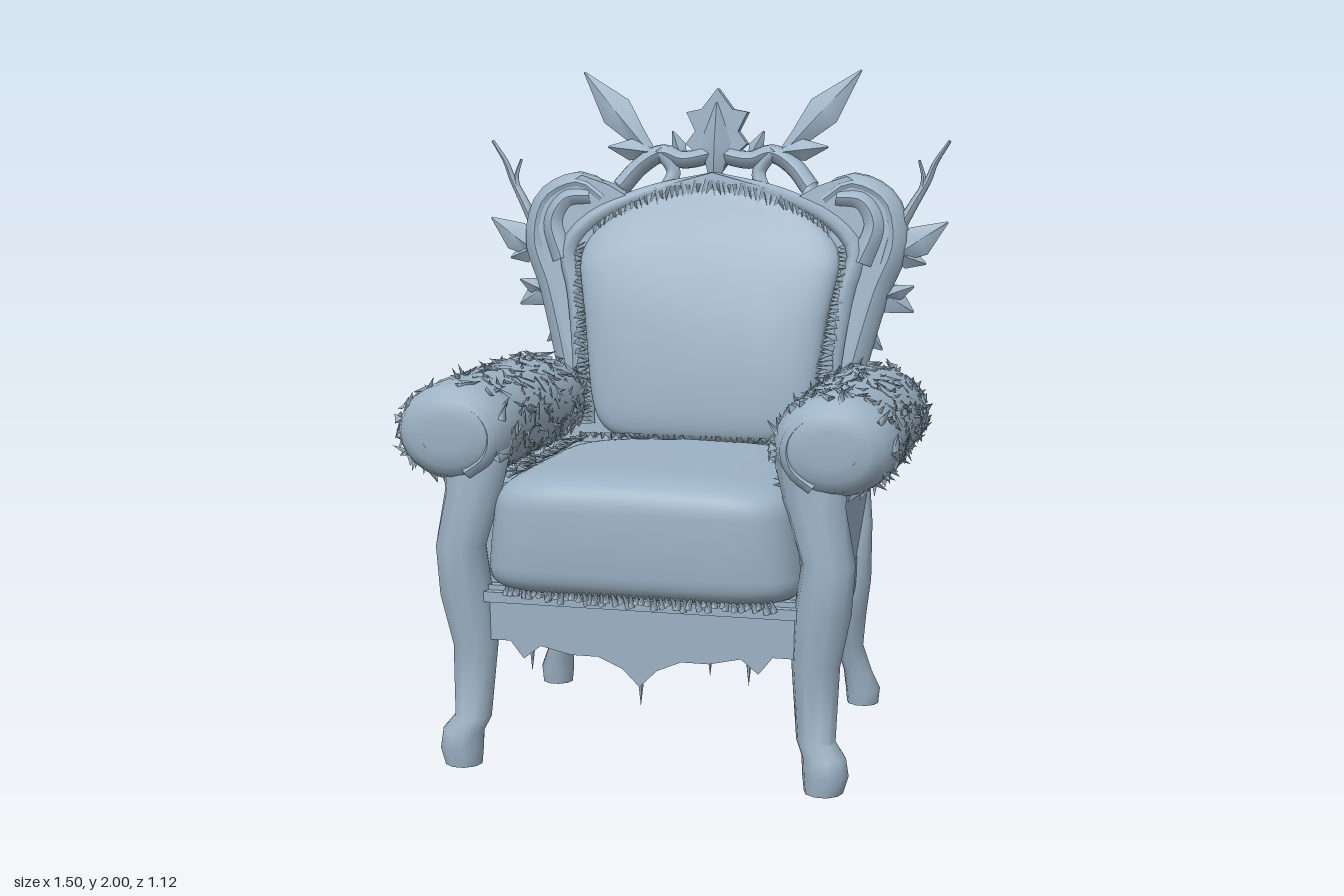
import * as THREE from 'three';
import { mergeGeometries, mergeVertices, toCreasedNormals } from 'three/addons/utils/BufferGeometryUtils.js';

const V = (x, y, z) => new THREE.Vector3(x, y, z);
const UP = V(0, 1, 0);
let seed = 7;
const rnd = () => (seed = (seed * 16807) % 2147483647) / 2147483647;

// the back leans: depth of its rear face at height y
const backZ = y => -0.375 - 0.15 * Math.pow(Math.max(0, y - 0.6) / 1.1, 1.1);

// skin over elliptical sections [x, y, z, rx, rz] stacked along y
function loft(sections, sides = 10) {
  const pos = [], idx = [], n = sections.length;
  for (const [x, y, z, rx, rz] of sections)
    for (let i = 0; i < sides; i++) {
      const a = (i / sides) * Math.PI * 2;
      pos.push(x + Math.cos(a) * rx, y, z + Math.sin(a) * rz);
    }
  for (let k = 0; k < n - 1; k++)
    for (let i = 0; i < sides; i++) {
      const j = (i + 1) % sides, a = k * sides + i, b = k * sides + j;
      idx.push(a, a + sides, b, b, a + sides, b + sides);
    }
  const top = (n - 1) * sides;
  for (let i = 1; i < sides - 1; i++) idx.push(0, i, i + 1, top, top + i + 1, top + i);
  const g = new THREE.BufferGeometry();
  g.setAttribute('position', new THREE.Float32BufferAttribute(pos, 3));
  g.setIndex(idx);
  return toCreasedNormals(g, 0.9);
}

// move every vertex of a geometry by a rule
function warp(g, rule) {
  const p = g.attributes.position, v = V(0, 0, 0);
  for (let i = 0; i < p.count; i++) {
    rule(v.fromBufferAttribute(p, i), i);
    p.setXYZ(i, v.x, v.y, v.z);
  }
  g.computeVertexNormals();
  return g;
}

// rounded unit cushion; a lower power gives squarer corners
function cushion(power, rule) {
  let g = new THREE.SphereGeometry(1, 48, 32);
  g.deleteAttribute('uv');
  g.deleteAttribute('normal');
  g = mergeVertices(g, 1e-4);
  const soft = t => Math.sign(t) * Math.pow(Math.abs(t), power);
  return warp(g, v => rule(v.set(soft(v.x), soft(v.y), soft(v.z))));
}

// tapering tube through points
function vine(points, r0, r1) {
  const curve = new THREE.CatmullRomCurve3(points), seg = 24, sides = 7;
  return warp(new THREE.TubeGeometry(curve, seg, 1, sides), (v, i) => {
    const t = Math.floor(i / (sides + 1)) / seg, c = curve.getPointAt(t);
    v.sub(c).multiplyScalar(r0 + (r1 - r0) * t).add(c);
  });
}

// flat pointed leaf from a to b
function leaf(a, b, w, thick = 0.02) {
  const d = b.clone().sub(a), L = d.length();
  const g = loft([[0, 0, 0, w * 0.25, thick * 0.5], [0, L * 0.25, 0, w * 0.55, thick],
    [0, L * 0.55, 0, w, thick], [0, L, 0, 0.003, 0.003]], 4);
  g.applyQuaternion(new THREE.Quaternion().setFromUnitVectors(UP, d.normalize()));
  return g.translate(a.x, a.y, a.z);
}

// ragged tufts: small pointed slivers at [position, direction]
function tufts(list, len, r = 0.013) {
  return mergeGeometries(list.map(([p, d]) => {
    const g = new THREE.ConeGeometry(r, len * (0.6 + 0.8 * rnd()), 3);
    g.applyQuaternion(new THREE.Quaternion().setFromUnitVectors(UP, d.clone().normalize()));
    return g.translate(p.x, p.y, p.z);
  }));
}

function slab(points, depth) {
  const shape = new THREE.Shape(points.map(([x, y]) => new THREE.Vector2(x, y)));
  return new THREE.ExtrudeGeometry(shape, { depth, bevelEnabled: false });
}
const mirrored = half => [...half, ...half.filter(p => p[0] !== 0).reverse().map(([x, y]) => [-x, y])];

export function createModel() {
  const root = new THREE.Group();
  const chair = new THREE.Group();
  chair.name = 'armchair';
  chair.position.x = -0.012;
  root.add(chair);
  const mat = new THREE.MeshStandardMaterial({ color: 0x9cb2c4, side: THREE.DoubleSide });
  mat.name = 'blue grey';
  const add = (name, g) => {
    const m = new THREE.Mesh(g, mat);
    m.name = name;
    chair.add(m);
  };
  const B = (x, y, off = 0.05) => V(x, y, backZ(y) + off);

  // upholstered base, flaring slightly upwards
  add('base', toCreasedNormals(warp(new THREE.BoxGeometry(2, 0.36, 0.8), v => {
    v.x *= v.y > 0 ? 0.54 : 0.495;
    v.y += 0.64;
    v.z += 0.03;
  }), 0.5));

  // seat cushion, wider at the bottom and domed on top
  add('seatCushion', cushion(0.32, v => {
    const X = v.x, Y = v.y, Z = v.z;
    v.x = X * (0.452 - 0.02 * Y);
    v.y = 0.675 + Y * 0.17 + 0.025 * (1 - X * X) * Math.max(Y, 0);
    v.z = 0.13 + Z * 0.405 + (Z > 0 ? 0.03 * (1 - X * X * 0.6) * (1 - Y * Y * 0.6) : 0);
  }));

  // carved back board following the lean, with a curved lower edge
  const board = slab(mirrored([[0, 0.47], [0.2, 0.475], [0.36, 0.47], [0.45, 0.43], [0.48, 0.6], [0.47, 0.85], [0.455, 1.0],
    [0.47, 1.12], [0.51, 1.25], [0.54, 1.38], [0.57, 1.5], [0.55, 1.6], [0.43, 1.67], [0.34, 1.64], [0.27, 1.6],
    [0.15, 1.64], [0, 1.68]]), 0.09);
  add('backBoard', toCreasedNormals(warp(board, v => { v.z += backZ(v.y); }), 0.6));

  // padded back cushion, widening to its shoulders and sloping back to an arched top
  add('backCushion', cushion(0.3, v => {
    const X = v.x, Y = v.y, Z = v.z;
    v.x = X * (0.395 + 0.045 * Y);
    v.y = 1.24 + 0.4 * Y - 0.17 * X * X * Math.max(Y, 0);
    const thick = 0.13 - 0.1 * THREE.MathUtils.smoothstep(v.y, 1.22, 1.64);
    v.z = backZ(v.y) + 0.05 + Z * (Z > 0 ? thick + 0.02 * (1 - X * X) : 0.03);
  }));

  // tufts round the seat and back cushions
  const seams = [];
  for (let i = 0; i < 46; i++) {
    const t = i / 45;
    for (const s of [-1, 1]) {
      seams.push([V(s * (0.375 + rnd() * 0.03), 0.845, -0.25 + t * 0.68), V(-s, 0.4 * rnd(), rnd() - 0.5)]);
      seams.push([B(s * (0.365 + 0.06 * t), 0.9 + t * 0.55, 0.15 - 0.06 * t * t), V(-s, rnd() - 0.5, 0.4)]);
    }
    const x = -0.38 + t * 0.76;
    seams.push([V(x, 0.86, -0.24), V(rnd() - 0.5, 0.4, 1)]);
    seams.push([B(x, 1.63 - 0.9 * x * x, 0.09), V(rnd() - 0.5, -1, 0.4)]);
    seams.push([V(x, 0.53, 0.535 - 0.25 * x * x), V(rnd() - 0.5, 1, 0)]);
  }
  add('cushionTufts', tufts(seams, 0.045));

  // front apron with pointed hem and drips
  add('frontApron', slab(mirrored([[0.46, 0.53], [0.46, 0.37], [0.38, 0.37], [0.34, 0.32], [0.29, 0.36],
    [0.2, 0.34], [0.12, 0.34], [0.05, 0.31], [0, 0.26]]), 0.03).translate(0, 0, 0.44));
  add('seatRail', new THREE.BoxGeometry(0.9, 0.03, 0.06).translate(0, 0.5, 0.465));
  const hem = [[0.38, 0.5], [0.38, 0.36], [0.3, 0.36], [0.2, 0.34], [0.14, 0.36], [0.05, 0.37], [-0.02, 0.36],
    [-0.1, 0.35], [-0.16, 0.38], [-0.27, 0.4], [-0.32, 0.5]];
  const drips = [[0, 0.2, 0.455], [0.31, 0.28, 0.455], [-0.32, 0.28, 0.455], [0.2, 0.3, 0.455]];

  for (const s of [-1, 1]) {
    const side = s < 0 ? 'right' : 'left';
    // side apron
    add(side + 'Apron', slab(hem, 0.025).rotateY(-Math.PI / 2).translate(s * 0.49 + 0.0125, 0, 0.03));
    drips.push([s * 0.49, 0.29, 0.2], [s * 0.49, 0.3, -0.1]);

    // front leg and arm post
    add(side + 'FrontLeg', loft([[s * 0.525, 0, 0.47, 0.055, 0.055], [s * 0.53, 0.05, 0.47, 0.065, 0.062],
      [s * 0.525, 0.1, 0.47, 0.062, 0.058], [s * 0.5, 0.14, 0.455, 0.055, 0.05], [s * 0.495, 0.35, 0.44, 0.068, 0.06],
      [s * 0.515, 0.5, 0.455, 0.08, 0.07], [s * 0.53, 0.64, 0.455, 0.075, 0.07], [s * 0.49, 0.8, 0.455, 0.085, 0.055],
      [s * 0.48, 0.95, 0.45, 0.11, 0.05]]));

    // back leg, fading into the back board
    add(side + 'BackLeg', loft([[s * 0.51, 0, -0.385, 0.05, 0.048], [s * 0.51, 0.05, -0.385, 0.055, 0.055],
      [s * 0.495, 0.11, -0.37, 0.045, 0.045], [s * 0.47, 0.2, -0.345, 0.045, 0.045], [s * 0.47, 0.3, -0.33, 0.055, 0.065],
      [s * 0.48, 0.42, -0.325, 0.06, 0.075], [s * 0.49, 0.6, -0.335, 0.05, 0.045], [s * 0.47, 0.9, -0.36, 0.045, 0.045],
      [s * 0.44, 1.1, -0.38, 0.03, 0.03]]));

    // rolled arm, lying along z, with rounded ends
    const cx = s * 0.542, cy = 0.965;
    add(side + 'Arm', loft([[-0.385, 0.06], [-0.37, 0.115], [-0.33, 0.15], [-0.25, 0.17], [-0.1, 0.176], [0.2, 0.178],
      [0.4, 0.176], [0.46, 0.168], [0.505, 0.145], [0.525, 0.11], [0.53, 0.06]]
      .map(([z, r]) => [cx, z, -cy, r, r * 0.82]), 24).rotateX(Math.PI / 2));
    // scroll on the arm front
    const roll = [];
    for (let i = 0; i < 9; i++) {
      const a = -1.2 + i * 0.62, r = 0.135 - i * 0.007;
      roll.push(V(cx - s * Math.cos(a) * r, cy + Math.sin(a) * r * 0.85, 0.495 + i * 0.002));
    }
    add(side + 'ArmScroll', vine(roll, 0.025, 0.018));
    // shaggy arm cover, lying mostly along the surface
    const fur = [];
    for (let i = 0; i < 480; i++) {
      const a = rnd() * Math.PI * 2, z = -0.3 + rnd() * 0.78, k = (rnd() - 0.5) * 1.6;
      const c = Math.cos(a), n = Math.sin(a);
      fur.push([V(cx + c * 0.172, cy + n * 0.141, z), V(c * 0.3 - n * k, n * 0.3 + c * k, (rnd() - 0.5) * 2)]);
    }
    add(side + 'ArmTufts', tufts(fur, 0.055, 0.016));

    // carved mouldings of the back frame
    add(side + 'InnerRim', vine([B(s * 0.39, 0.88, 0.1), B(s * 0.405, 1.1, 0.1), B(s * 0.435, 1.3, 0.09),
      B(s * 0.465, 1.44, 0.085), B(s * 0.39, 1.53, 0.08), B(s * 0.22, 1.61, 0.07), B(0, 1.66, 0.06)], 0.035, 0.022));
    add(side + 'OuterRim', vine([B(s * 0.45, 1.02), B(s * 0.49, 1.18), B(s * 0.53, 1.32), B(s * 0.58, 1.46),
      B(s * 0.55, 1.59), B(s * 0.44, 1.64), B(s * 0.36, 1.59)], 0.045, 0.045));
    add(side + 'ShoulderScroll', vine([B(s * 0.48, 1.4, 0.07), B(s * 0.52, 1.52, 0.07), B(s * 0.48, 1.59, 0.07),
      B(s * 0.4, 1.6, 0.07)], 0.045, 0.03));

    // side leaves and forked twig
    add(side + 'UpperLeaf', leaf(B(s * 0.55, 1.4), V(s * 0.745, 1.53, -0.45), 0.05));
    add(side + 'MiddleLeaf', leaf(B(s * 0.56, 1.44), V(s * 0.68, 1.4, -0.45), 0.035));
    add(side + 'LowerLeaf', leaf(B(s * 0.49, 1.34), V(s * 0.645, 1.25, -0.44), 0.05));
    add(side + 'LowerLeafTip', leaf(B(s * 0.54, 1.29), V(s * 0.645, 1.33, -0.44), 0.025));
    add(side + 'SmallLeaf', leaf(B(s * 0.48, 1.2), V(s * 0.55, 1.13, -0.43), 0.03));
    add(side + 'Twig', vine([B(s * 0.59, 1.5), V(s * 0.64, 1.59, -0.46), V(s * 0.68, 1.66, -0.47),
      V(s * 0.7, 1.71, -0.47), V(s * 0.745, 1.78, -0.47)], 0.02, 0.005));
    add(side + 'TwigFork', vine([V(s * 0.65, 1.6, -0.46), V(s * 0.665, 1.66, -0.47), V(s * 0.65, 1.72, -0.48)], 0.012, 0.004));

    // crest: long leaves and open arches
    add(side + 'CrestLeaf', leaf(V(s * 0.2, 1.72, -0.5), V(s * 0.455, 2, -0.555), 0.055));
    add(side + 'CrestSideLeaf', leaf(V(s * 0.19, 1.74, -0.49), V(s * 0.36, 1.76, -0.5), 0.035));
    add(side + 'CrestArch', vine([B(s * 0.31, 1.63), V(s * 0.25, 1.7, -0.49), V(s * 0.18, 1.74, -0.5),
      V(s * 0.11, 1.72, -0.5), V(0, 1.74, -0.5)], 0.032, 0.028));
    add(side + 'CrestStem', vine([B(s * 0.16, 1.62), V(s * 0.14, 1.68, -0.49), V(s * 0.19, 1.75, -0.49)], 0.025, 0.02));
    add(side + 'CrestBud', leaf(V(s * 0.1, 1.7, -0.5), V(s * 0.15, 1.81, -0.52), 0.025));
  }

  // central finial
  add('crestFinial', toCreasedNormals(warp(slab(mirrored([[0, 1.66], [0.045, 1.72], [0.1, 1.77], [0.07, 1.81],
    [0.1, 1.87], [0.05, 1.88], [0, 1.945]]), 0.04), v => { v.z -= 0.525 + (v.y - 1.7) * 0.08; }), 0.5));
  add('crestStemMiddle', leaf(V(0, 1.62, -0.47), V(0, 1.9, -0.5), 0.05, 0.025));

  // hanging drips
  for (const [x, y, z] of drips) add('drip', new THREE.ConeGeometry(0.012, 0.1, 5).rotateX(Math.PI).translate(x, y + 0.05, z));
  return root;
}
